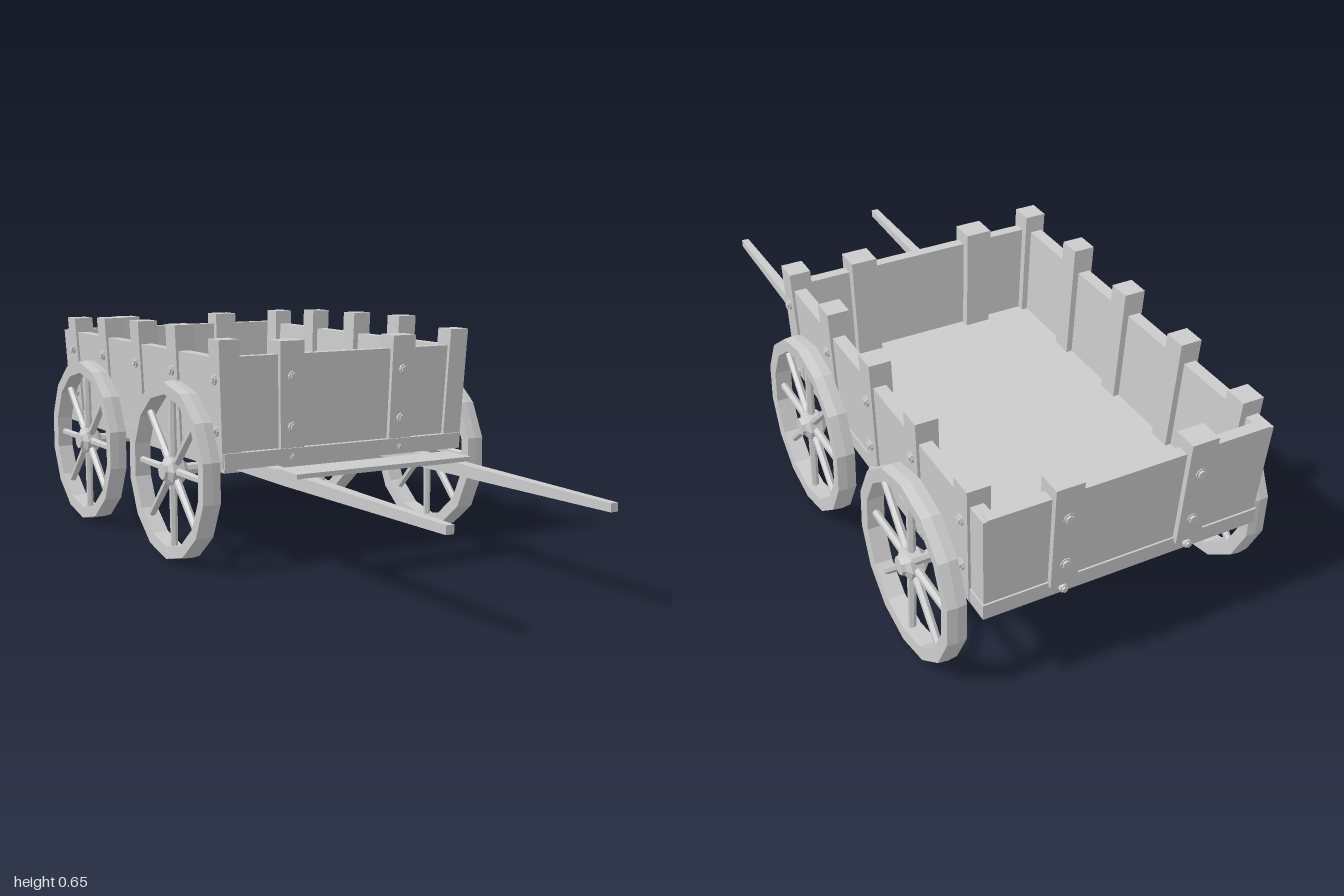
import * as THREE from 'three';

const material = new THREE.MeshStandardMaterial({ color: 0xcccccc, flatShading: true });
const BED_Z = -0.4; // middle of the cart bed

function add(parent, name, geometry) {
  const mesh = new THREE.Mesh(geometry, material);
  mesh.name = name;
  parent.add(mesh);
  return mesh;
}

// Box given by its minimum and maximum on each axis
function span(x0, x1, y0, y1, z0, z1) {
  return new THREE.BoxGeometry(x1 - x0, y1 - y0, z1 - z0)
    .translate((x0 + x1) / 2, (y0 + y1) / 2, (z0 + z1) / 2);
}

// Spreads the bed outwards with height, so that all four walls lean out
function flare(geometry) {
  const p = geometry.attributes.position;
  for (let i = 0; i < p.count; i++) {
    const t = (p.getY(i) - 0.29) / 0.36;
    p.setX(i, p.getX(i) * (1 + 0.045 * t));
    p.setZ(i, BED_Z + (p.getZ(i) - BED_Z) * (1 + 0.03 * t));
  }
  geometry.computeVertexNormals();
  return geometry;
}

// Hexagonal bolt on a round washer, pointing along +z
function bolt(parent, x, y, z, turn, size) {
  const group = new THREE.Group();
  group.name = 'bolt';
  const t = (y - 0.29) / 0.36;
  group.position.set(x * (1 + 0.045 * t), y, BED_Z + (z - BED_Z) * (1 + 0.03 * t));
  group.rotation.y = turn;
  add(group, 'washer', new THREE.CylinderGeometry(size, size, 0.01, 8).rotateX(Math.PI / 2));
  add(group, 'boltHead', new THREE.CylinderGeometry(size * 0.7, size * 0.75, 0.02, 6).rotateX(Math.PI / 2));
  parent.add(group);
}

function boltColumn(parent, x, z, turn) {
  [[0.305, 0.011], [0.388, 0.015], [0.528, 0.015]].forEach(([y, size]) => bolt(parent, x, y, z, turn, size));
}

// Wheel with its axis along x, outside facing +x
function createWheel() {
  const wheel = new THREE.Group();
  wheel.name = 'wheel';
  const profile = [[0.215, -0.024], [0.25, -0.026], [0.253, 0], [0.25, 0.026], [0.215, 0.024], [0.215, -0.024]]
    .map(([r, h]) => new THREE.Vector2(r, h));
  add(wheel, 'rim', new THREE.LatheGeometry(profile, 14, Math.PI / 2).rotateZ(Math.PI / 2));
  for (let i = 0; i < 8; i++) {
    add(wheel, 'spoke', new THREE.CylinderGeometry(0.01, 0.012, 0.2, 6)
      .translate(0, 0.125, 0).rotateX(i * Math.PI / 4));
  }
  const hub = [[0, -0.036], [0.022, -0.036], [0.042, -0.018], [0.042, 0.016], [0.026, 0.026], [0.024, 0.035], [0, 0.035]]
    .map(([r, h]) => new THREE.Vector2(r, h));
  add(wheel, 'hub', new THREE.LatheGeometry(hub, 8).rotateZ(-Math.PI / 2));
  return wheel;
}

export function createModel() {
  const cart = new THREE.Group();
  cart.name = 'cart';

  // Bed floor and its four leaning walls
  const bed = new THREE.Group();
  bed.name = 'bed';
  cart.add(bed);
  add(bed, 'floor', flare(span(-0.384, 0.384, 0.285, 0.33, -0.972, 0.178)));
  add(bed, 'frontPanel', flare(span(-0.37, 0.37, 0.32, 0.588, 0.13, 0.16)));
  add(bed, 'backPanel', flare(span(-0.37, 0.37, 0.32, 0.588, -0.967, -0.935)));
  for (const s of [1, -1]) {
    add(bed, 'sidePanel', flare(span(s * 0.363 - 0.017, s * 0.363 + 0.017, 0.287, 0.585, -0.967, 0.16)));

    // Five posts on each side
    const posts = [[0.14, 0.635], [-0.123, 0.657], [-0.373, 0.652], [-0.625, 0.645], [-0.876, 0.63]];
    for (const [z, top] of posts) {
      add(bed, 'sidePost', flare(span(s * 0.358 - 0.029, s * 0.358 + 0.029, 0.29, top, z - 0.031, z + 0.031)));
      boltColumn(bed, s * 0.388, z, s * Math.PI / 2);
    }

    // Two posts on the front and on the back wall
    add(bed, 'frontPost', flare(span(s * 0.175 - 0.036, s * 0.175 + 0.036, 0.32, 0.625, 0.105, 0.173)));
    add(bed, 'backPost', flare(span(s * 0.175 - 0.036, s * 0.175 + 0.036, 0.32, 0.622, -0.982, -0.918)));
    boltColumn(bed, s * 0.175, 0.176, 0);
    boltColumn(bed, s * 0.175, -0.98, Math.PI);
  }

  // Pulling shafts run under the bed and taper towards the front
  for (const s of [1, -1]) {
    const shaft = new THREE.BoxGeometry(0.037, 0.037, 1.92, 1, 1, 8).translate(0, 0, 0.04);
    const p = shaft.attributes.position;
    for (let i = 0; i < p.count; i++) {
      const k = 1 - 0.4 * Math.max(0, (p.getZ(i) - 0.3) / 0.7);
      p.setXY(i, p.getX(i) * k, p.getY(i) * k);
    }
    shaft.computeVertexNormals();
    add(cart, 'shaft', shaft).position.set(s * 0.241, 0.267, 0);
  }
  add(cart, 'crossBoard', span(-0.278, 0.278, 0.284, 0.297, 0.27, 0.38));

  // Axles and wheels
  for (const z of [-0.05, -0.69]) {
    add(cart, 'axleBeam', span(-0.288, 0.288, 0.238, 0.287, z - 0.032, z + 0.032));
    add(cart, 'axle', new THREE.CylinderGeometry(0.017, 0.017, 0.82, 8).rotateZ(Math.PI / 2))
      .position.set(0, 0.257, z);
    for (const s of [1, -1]) {
      const wheel = createWheel();
      wheel.position.set(s * 0.431, 0.256, z);
      if (s < 0) wheel.rotation.y = Math.PI;
      cart.add(wheel);
    }
  }
  return cart;
}
